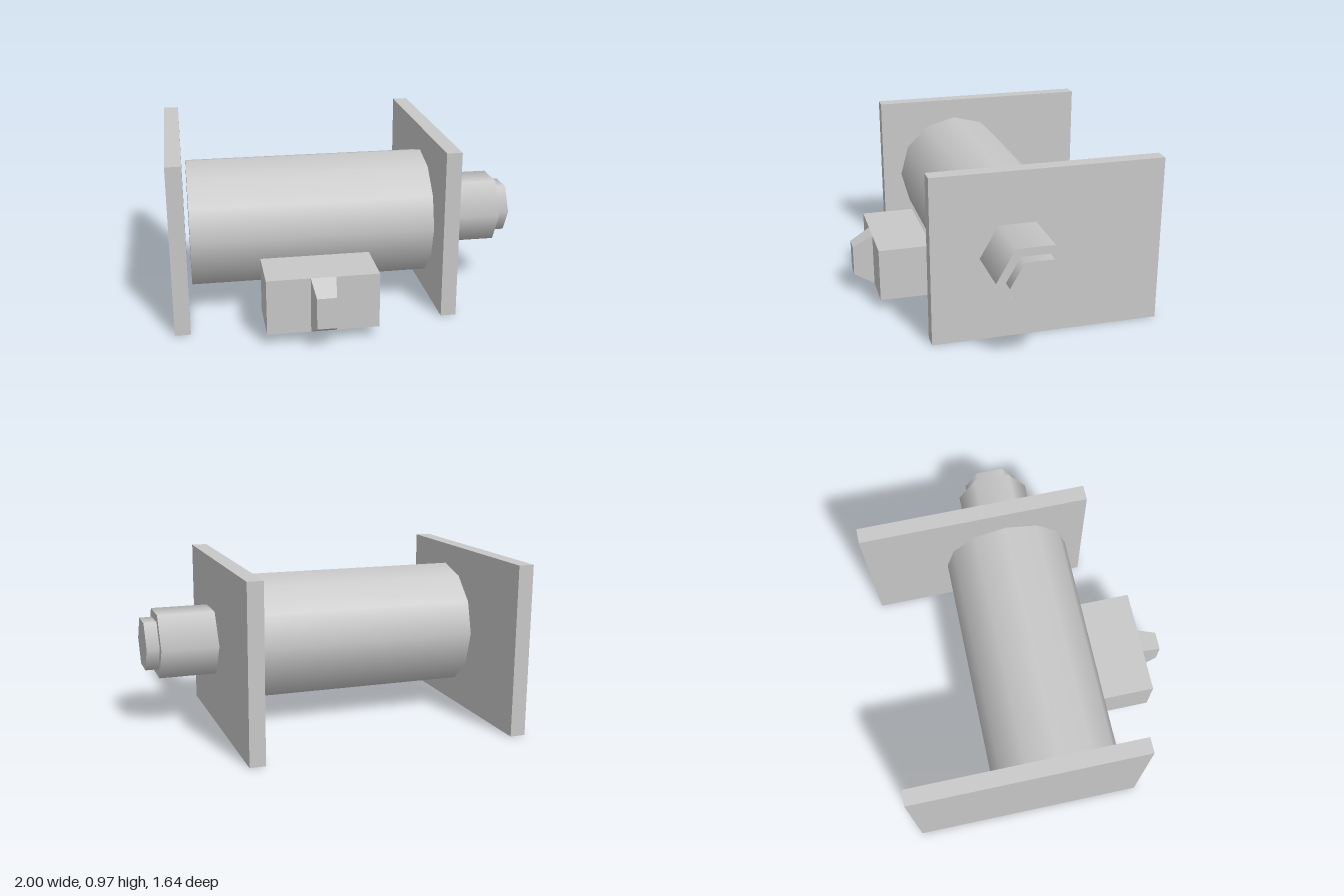
import * as THREE from 'three';

export function createModel() {
  const model = new THREE.Group();
  const grey = new THREE.MeshStandardMaterial({ color: 0xc8c8c8 });
  grey.name = 'grey metal';

  const add = (name, geometry, x, y, z) => {
    const mesh = new THREE.Mesh(geometry, grey);
    mesh.name = name;
    mesh.position.set(x, y, z);
    model.add(mesh);
  };

  // Parts turned about the shared horizontal axle, from x0 to x1
  const addRound = (name, radius, x0, x1, sides) => {
    const geometry = new THREE.CylinderGeometry(radius, radius, x1 - x0, sides);
    geometry.rotateZ(-Math.PI / 2);
    add(name, geometry, (x0 + x1) / 2, 0.488, 0.018);
  };

  // End plates
  const plate = new THREE.BoxGeometry(0.088, 0.97, 1.32);
  add('rightEndPlate', plate, -0.956, 0.485, -0.16);
  add('leftEndPlate', plate, 0.556, 0.485, -0.16);

  // Drum, and the stepped hexagonal drive on its left
  addRound('drum', 0.368, -0.888, 0.487, 12);
  addRound('driveHub', 0.21, 0.6, 0.927, 6);
  addRound('driveTip', 0.157, 0.927, 1, 6);

  // Block in front of the drum
  add('frontBlock', new THREE.BoxGeometry(0.616, 0.314, 0.312), -0.2, 0.222, 0.546);

  // Tapered nose on the block: the front face is drawn in
  const nose = new THREE.BoxGeometry(0.138, 0.314, 0.118);
  const p = nose.attributes.position;
  for (let i = 0; i < p.count; i++) {
    if (p.getZ(i) > 0) p.setXY(i, p.getX(i) * 0.77, p.getY(i) * 0.56);
  }
  nose.computeVertexNormals();
  add('blockNose', nose, -0.2, 0.222, 0.761);

  return model;
}
